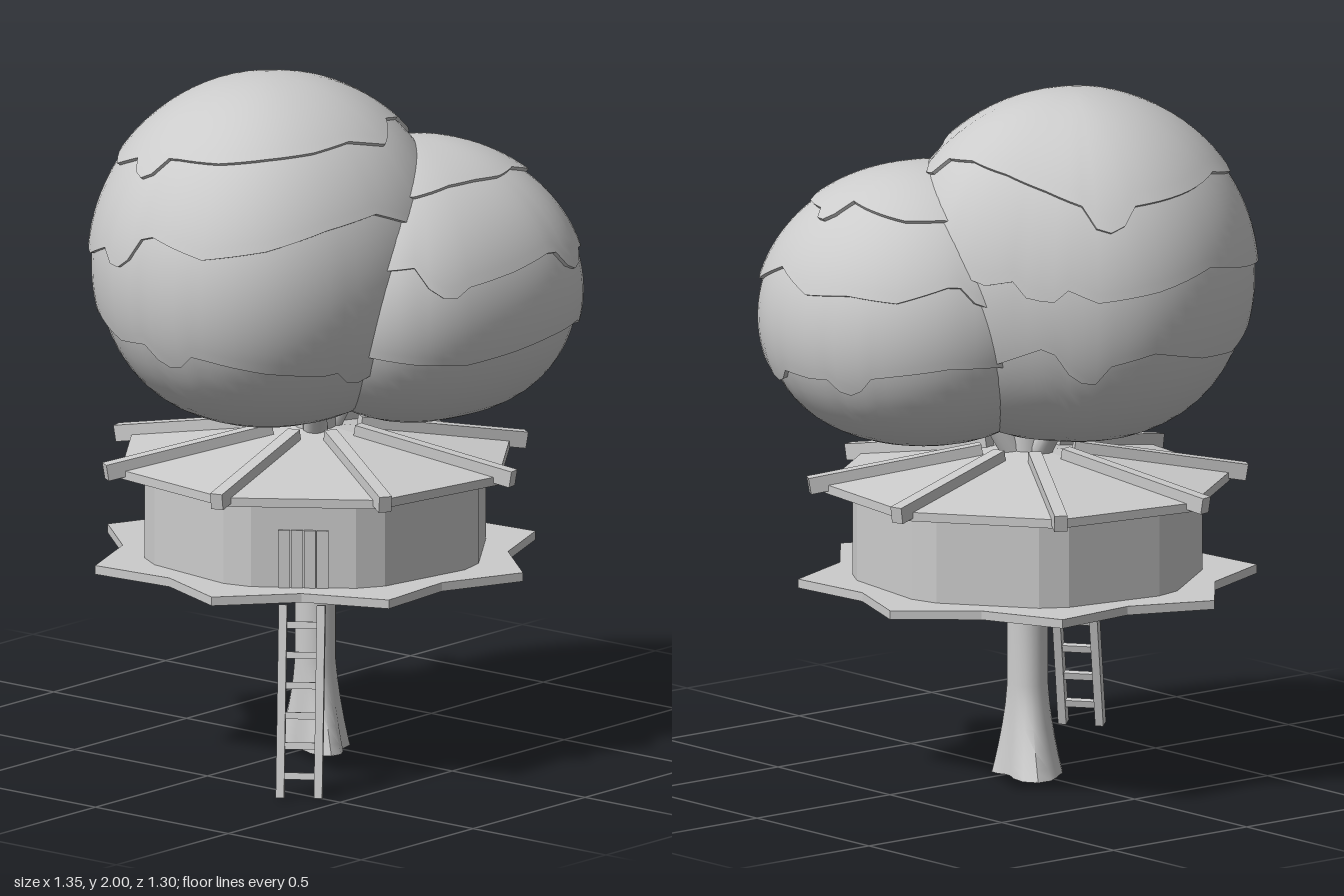
import * as THREE from 'three';
import { toCreasedNormals } from 'three/addons/utils/BufferGeometryUtils.js';

const material = new THREE.MeshStandardMaterial({ color: 0xcccccc, side: THREE.DoubleSide });
const CX = -0.018;                 // trunk axis
const TURN = 13.6 * Math.PI / 180; // turn of the octagonal house
const TAU = Math.PI * 2;

function add(parent, name, geometry, x = 0, y = 0, z = 0) {
  const mesh = new THREE.Mesh(geometry, material);
  mesh.name = name;
  mesh.position.set(x, y, z);
  parent.add(mesh);
  return mesh;
}

function flat(geometry) {
  const g = geometry.toNonIndexed();
  g.computeVertexNormals();
  return g;
}

function seeded(seed) {
  return () => (seed = (seed * 16807) % 2147483647) / 2147483647;
}

// Rounded bump around one compass direction
function lobe(a, deg, power) {
  return Math.pow(Math.max(0, Math.cos(a - deg * Math.PI / 180)), power);
}

// Surface through rows of points; every row is a closed loop of `cols` points
function loft(rows, cols, point, crease) {
  const pos = [], index = [];
  for (let i = 0; i <= rows; i++)
    for (let j = 0; j < cols; j++) pos.push(...point(i, (j / cols) * TAU, j));
  for (let i = 0; i < rows; i++)
    for (let j = 0; j < cols; j++) {
      const k = (j + 1) % cols;
      const a = i * cols + j, b = i * cols + k, c = a + cols, d = b + cols;
      index.push(a, b, c, b, d, c);
    }
  const g = new THREE.BufferGeometry();
  g.setAttribute('position', new THREE.Float32BufferAttribute(pos, 3));
  g.setIndex(index);
  return toCreasedNormals(g, crease);
}

// Plate with its top at y = 0, outlined by [radius, angle] pairs
function plate(points, depth, hole = 0) {
  const shape = new THREE.Shape(points.map(([r, a]) =>
    new THREE.Vector2(r * Math.cos(a), r * Math.sin(a))));
  if (hole) shape.holes.push(new THREE.Path().absarc(0, 0, hole, 0, TAU, true));
  return new THREE.ExtrudeGeometry(shape, { depth, bevelEnabled: false, curveSegments: 10 })
    .rotateX(Math.PI / 2);
}

function rod(parent, name, from, to, r0, r1) {
  const a = new THREE.Vector3(...from), b = new THREE.Vector3(...to);
  const dir = b.clone().sub(a);
  const mesh = add(parent, name, new THREE.CylinderGeometry(r1, r0, dir.length(), 12));
  mesh.position.copy(a).addScaledVector(dir, 0.5);
  mesh.quaternion.setFromUnitVectors(new THREE.Vector3(0, 1, 0), dir.normalize());
}

// Trunk flaring into four unequal roots, with limbs into the foliage
function buildTree(parent) {
  const trunk = new THREE.Group();
  trunk.name = 'trunk';
  trunk.position.x = CX;
  parent.add(trunk);
  const roots = [[-59, 0.175], [33, 0.105], [117, 0.137], [235, 0.105]];
  const heights = [1.1, 0.56, 0.26, 0.2, 0.14, 0.08, 0.03, 0];
  add(trunk, 'trunkAndRoots', loft(heights.length - 1, 24, (i, a) => {
    const y = heights[i];
    const flare = Math.pow(Math.max(0, 1 - y / 0.27), 1.5);
    let r = 0.059;
    for (const [deg, len] of roots) r += (len - 0.059) * flare * lobe(a, deg, 5);
    return [r * Math.cos(a), y, r * Math.sin(a)];
  }, 0.7));
  const foot = [];
  for (const [deg, len] of roots)
    foot.push([len, deg * Math.PI / 180], [0.065, (deg + 45) * Math.PI / 180]);
  add(trunk, 'rootSole', plate(foot, 0.002), 0, 0.002, 0);
  for (const deg of [20, 140, 260]) {
    const a = deg * Math.PI / 180;
    rod(trunk, 'limb', [0, 0.88, 0], [0.13 * Math.cos(a), 1.08, 0.13 * Math.sin(a)], 0.04, 0.03);
  }
}

// Octagonal house on a star-shaped deck
function buildHouse(parent) {
  const house = new THREE.Group();
  house.name = 'house';
  house.position.x = CX;
  house.rotation.y = TURN;
  parent.add(house);

  const star = [], wall = [];
  for (let k = 0; k < 8; k++) {
    const a = k * TAU / 8;
    star.push([0.668, a], [0.556, a + TAU / 16]);
    wall.push([0.505, a - 0.087], [0.505, a + 0.087]);
  }
  add(house, 'deck', plate(star, 0.026, 0.075), 0, 0.585, 0);
  add(house, 'walls', plate(wall, 0.27, 0.075), 0, 0.85, 0);

  const profile = [[0.05, 0.9], [0.5, 0.838], [0.59, 0.836], [0.59, 0.862], [0.05, 0.952]];
  add(house, 'roof', flat(new THREE.LatheGeometry(
    profile.map(p => new THREE.Vector2(...p)), 8)));

  // Roof beams along the eight ridges
  for (let k = 0; k < 8; k++) {
    const arm = new THREE.Group();
    arm.name = 'roofBeam';
    arm.rotation.y = k * TAU / 8;
    house.add(arm);
    const beam = add(arm, 'beam', new THREE.BoxGeometry(0.51, 0.048, 0.038), 0.385, 0.902, 0);
    beam.rotation.z = -0.165;
  }

  // Door and ladder share one side of the octagon
  const side = new THREE.Group();
  side.name = 'entrance';
  side.rotation.y = Math.PI / 2 - (157.5 * Math.PI / 180);
  house.add(side);
  const faceZ = 0.505 * Math.cos(Math.PI / 8 - 0.087);
  for (let i = 0; i < 4; i++)
    add(side, 'doorPlank', new THREE.BoxGeometry(0.034, 0.17, 0.016), (i - 1.5) * 0.037, 0.67, faceZ);

  const ladder = new THREE.Group();
  ladder.name = 'ladder';
  ladder.position.set(0, 0.275, 0.596);
  ladder.rotation.x = -Math.atan2(0.125, 0.55);
  side.add(ladder);
  for (const s of [-1, 1])
    add(ladder, 'ladderRail', new THREE.BoxGeometry(0.024, 0.556, 0.034), s * 0.055, 0, 0);
  for (let i = 0; i < 6; i++)
    add(ladder, 'ladderRung', new THREE.BoxGeometry(0.1, 0.02, 0.02), 0, -0.215 + i * 0.087, 0);
}

// Rounded foliage mass wrapped in overlapping, ragged-edged layers
function buildFoliage(parent, name, { center, rx, rz, top, bottom, bulges, layers, seed }) {
  const group = new THREE.Group();
  group.name = name;
  group.position.set(...center);
  parent.add(group);
  const random = seeded(seed), cols = 72, rows = 14;

  const surface = (phi, a, off) => {
    const c = Math.cos(phi), s = Math.sin(phi);
    let wide = c < 0 ? Math.pow(s, 0.78) : s;
    for (const [deg, amount] of bulges) wide *= 1 + amount * lobe(a, deg, 6);
    return [(rx + off) * wide * Math.cos(a), ((c > 0 ? top : bottom) + off) * c,
      (rz + off) * wide * Math.sin(a)];
  };

  let upper = null;
  layers.forEach(([y, tilt, off]) => {
    // Ragged edge: straight runs between random knots, plus hanging leaf tabs
    const knots = Array.from({ length: 18 }, () => (random() - 0.5) * 0.17);
    const tabs = [0, 1, 2].map(i => Math.floor((i + random()) * 23));
    const h = y - center[1];
    const mid = Math.acos(h / (h > 0 ? top : bottom));
    const edge = Array.from({ length: cols }, (_, j) => {
      const t = j / 4, k = Math.floor(t), f = t - k;
      let phi = mid - tilt * Math.sin(j / cols * TAU)
        + knots[k] * (1 - f) + knots[(k + 1) % 18] * f;
      for (const c of tabs) phi += [0.13, 0.1][Math.abs(j - c)] || 0;
      return phi;
    });
    const start = upper;
    add(group, 'leafLayer', loft(rows + 1, cols, (i, a, j) => {
      const from = start ? Math.max(0.05, start[j] - 0.25) : 0.001;
      const phi = from + (edge[j] - from) * Math.min(1, i / rows);
      return surface(phi, a, i > rows ? off - 0.03 : off);
    }, 0.7));
    upper = edge;
  });
  add(group, 'leafCore', loft(rows, cols, (i, a, j) => {
    const from = upper[j] - 0.25;
    return surface(from + (Math.PI - 0.001 - from) * i / rows, a, -0.022);
  }, 0.7));
}

export function createModel() {
  const model = new THREE.Group();
  model.name = 'treeHouse';
  buildTree(model);
  buildHouse(model);
  // Layers: edge height, tilt towards the front, outward offset
  // Bulges: compass direction in degrees, share of the radius
  buildFoliage(model, 'largeFoliage', {
    center: [-0.13, 1.45, -0.07], rx: 0.545, rz: 0.515, top: 0.536, bottom: 0.49, seed: 11,
    bulges: [[145, 0.07], [-36, -0.11]],
    layers: [[1.8, 0.13, 0.014], [1.57, 0.12, 0.003], [1.27, -0.06, -0.008]],
  });
  buildFoliage(model, 'smallFoliage', {
    center: [0.21, 1.34, 0.19], rx: 0.46, rz: 0.448, top: 0.436, bottom: 0.388, seed: 29,
    bulges: [[49, 0.08], [150, 0.14]],
    layers: [[1.68, 0.06, 0.014], [1.49, -0.02, 0.003], [1.24, 0, -0.008]],
  });
  return model;
}
